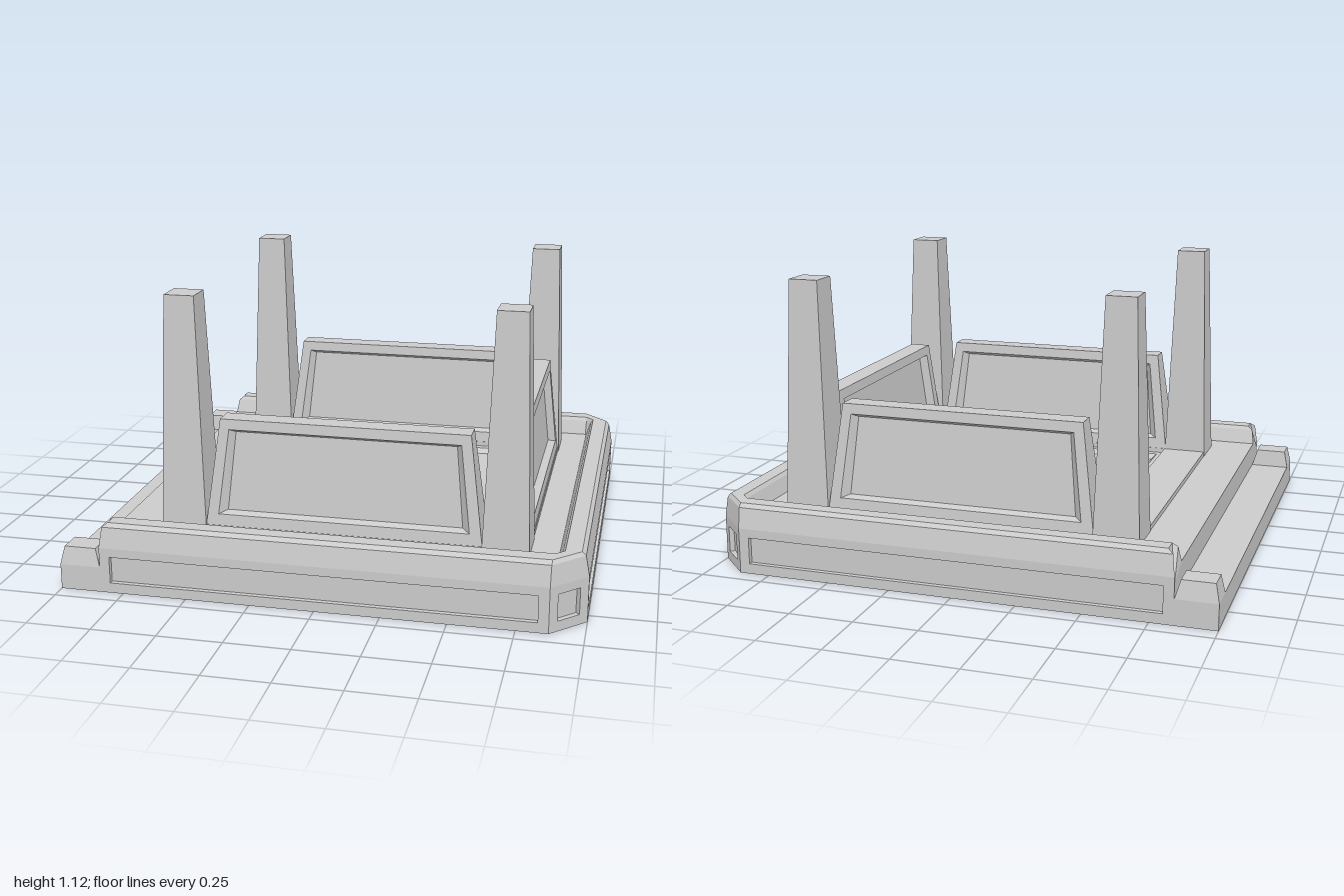
import * as THREE from 'three';

const material = new THREE.MeshStandardMaterial({ color: 0xcccccc, flatShading: true });

// Skins a series of closed loops (counter-clockwise seen from the last one).
function loft(loops, capStart = true) {
  const pos = [];
  const tri = (a, b, c) => pos.push(...a, ...b, ...c);
  for (let k = 0; k + 1 < loops.length; k++) {
    const a = loops[k], b = loops[k + 1], n = a.length;
    for (let i = 0; i < n; i++) {
      const j = (i + 1) % n;
      tri(a[i], a[j], b[j]);
      tri(a[i], b[j], b[i]);
    }
  }
  const first = loops[0], last = loops[loops.length - 1];
  for (let i = 1; i + 1 < last.length; i++) {
    tri(last[0], last[i], last[i + 1]);
    if (capStart) tri(first[0], first[i + 1], first[i]);
  }
  const geo = new THREE.BufferGeometry();
  geo.setAttribute('position', new THREE.Float32BufferAttribute(pos, 3));
  geo.computeVertexNormals();
  return geo;
}

// Level rectangle at height y.
const rect = (x0, x1, z0, z1, y) => [[x0, y, z1], [x1, y, z1], [x1, y, z0], [x0, y, z0]];

// Corners of the plan outline moved inwards by d; the chamfer shrinks to a square inner corner.
function outline(d) {
  const c = Math.max(0.004, 0.13 * (1 - d / 0.12));
  const x = 1 - d, z = 0.935 - d;
  return [[x - c, z], [x, z - c], [x, c - z], [x - c, -z]];
}

// Vertical wall from a to b with a sunken rectangular field.
function recessedWall(a, b, height, margin0, margin1) {
  const A = new THREE.Vector2(...a), dir = new THREE.Vector2(...b).sub(A);
  const len = dir.length();
  dir.normalize();
  const p = (u, y, n) => [A.x + dir.x * u - dir.y * n, y, A.y + dir.y * u + dir.x * n];
  const field = (u0, u1, y0, y1, n) => [p(u0, y0, n), p(u1, y0, n), p(u1, y1, n), p(u0, y1, n)];
  const u0 = margin0, u1 = len - margin1;
  return loft([
    field(0, len, 0, height, 0),
    field(u0, u1, 0.04, 0.145, 0),
    field(u0, u1, 0.04, 0.145, -0.02),
  ], false);
}

// Tapered parapet with a bevelled recess on both faces, running along x.
function parapetGeometry() {
  const half = (y) => 0.085 - 0.043 * (y - 0.2) / 0.44;
  const trapezoid = (w0, y0, w1, y1, side, depth) =>
    [[-w0, y0], [w0, y0], [w1, y1], [-w1, y1]].map(([u, y]) => [u, y, side * (half(y) - depth)]);
  const face = (s) => [
    trapezoid(0.542, 0.2, 0.485, 0.64, s, 0),
    trapezoid(0.49, 0.265, 0.45, 0.6, s, 0),
    trapezoid(0.46, 0.275, 0.43, 0.585, s, 0.03),
  ];
  return loft([...face(-1).reverse(), ...face(1)]);
}

// Raised rim swept round three sides of the deck.
function rimGeometry() {
  // inset, height, x of the open end
  const profile = [
    [0, 0.18, -0.84], [0.015, 0.26, -0.83], [0.03, 0.275, -0.81], [0.09, 0.275, -0.81],
    [0.1, 0.26, -0.83], [0.12, 0.2, -0.84], [0.12, 0.1, -0.84], [0.03, 0.1, -0.84], [0.03, 0.15, -0.84],
  ];
  const loop = (fn) => profile.map(fn).reverse();
  const end = (s) => loop(([d, y, x], i) => [x, y, s * (0.935 - (i > 6 ? 0 : d))]);
  const inner = (s) => loop(([d, y]) => [-0.805, y, s * (0.935 - d)]);
  const corners = [0, 1, 2, 3].map((k) => loop(([d, y]) => {
    const [x, z] = outline(d)[k];
    return [x, y, z];
  }));
  return loft([end(1), inner(1), ...corners, inner(-1), end(-1)]);
}

export function createModel() {
  const model = new THREE.Group();
  const add = (name, geo, parent = model) => {
    const mesh = new THREE.Mesh(geo, material);
    mesh.name = name;
    parent.add(mesh);
    return mesh;
  };

  // Underside
  const plan = [[-1, 0.935], ...outline(0), [-1, -0.935]];
  const underside = new THREE.ShapeGeometry(new THREE.Shape(plan.map(([x, z]) => new THREE.Vector2(x, z))));
  add('underside', underside.rotateX(Math.PI / 2));

  // Outer walls with sunken fields
  const walls = new THREE.Group();
  walls.name = 'outerWalls';
  model.add(walls);
  const path = [[-0.84, 0.935], ...outline(0), [-0.84, -0.935]];
  const margins = [[0.04, 0.04], [0.04, 0.04], [0.025, 0.025], [0.04, 0.04], [0.04, 0.04]];
  margins.forEach(([m0, m1], i) =>
    add('wall' + (i + 1), recessedWall(path[i], path[i + 1], 0.18, m0, m1), walls));
  add('rim', rimGeometry());

  // Deck with a shallow sunken floor
  add('deck', loft([
    rect(-0.84, 0.882, -0.817, 0.817, 0.002),
    rect(-0.84, 0.882, -0.817, 0.817, 0.2),
    rect(-0.45, 0.57, -0.51, 0.51, 0.2),
    rect(-0.43, 0.55, -0.49, 0.49, 0.18),
  ]));

  // Low entry step between two blocks
  add('entryStep', loft([
    rect(-1, -0.83, -0.82, 0.82, 0.002),
    rect(-1, -0.83, -0.82, 0.82, 0.1),
  ]));
  for (const s of [1, -1]) {
    const block = (x0, x1, zi, zo, y) => rect(x0, x1, Math.min(s * zi, s * zo), Math.max(s * zi, s * zo), y);
    add(s > 0 ? 'frontStepBlock' : 'backStepBlock', loft([
      block(-1, -0.84, 0.815, 0.935, 0),
      block(-1, -0.84, 0.815, 0.935, 0.1),
      block(-0.985, -0.86, 0.825, 0.92, 0.17),
    ]));
  }

  // Plinth ring under the posts and parapets
  const ring = (x0, x1, z) => [[x0, -z], [x1, -z], [x1, z], [x0, z]].map(([x, y]) => new THREE.Vector2(x, y));
  const plinth = new THREE.Shape(ring(-0.66, 0.77, 0.71));
  plinth.holes.push(new THREE.Path(ring(-0.48, 0.6, 0.54)));
  const plinthGeo = new THREE.ExtrudeGeometry(plinth, { depth: 0.02, bevelEnabled: false });
  add('plinth', plinthGeo.rotateX(-Math.PI / 2).translate(0, 0.2, 0));

  // Four tapered posts
  const square = (h, y) => rect(-h, h, -h, h, y);
  const postGeo = loft([square(0.09, 0.2), square(0.059, 1.12)]);
  for (const x of [-0.572, 0.683])
    for (const z of [-0.627, 0.627]) add('post', postGeo).position.set(x, 0, z);

  // Three parapets, leaving the step side open
  const parapet = parapetGeometry();
  add('frontParapet', parapet).position.set(0.055, 0, 0.625);
  add('backParapet', parapet).position.set(0.055, 0, -0.625);
  const side = add('sideParapet', parapet);
  side.position.set(0.683, 0, 0);
  side.rotation.y = Math.PI / 2;

  return model;
}
